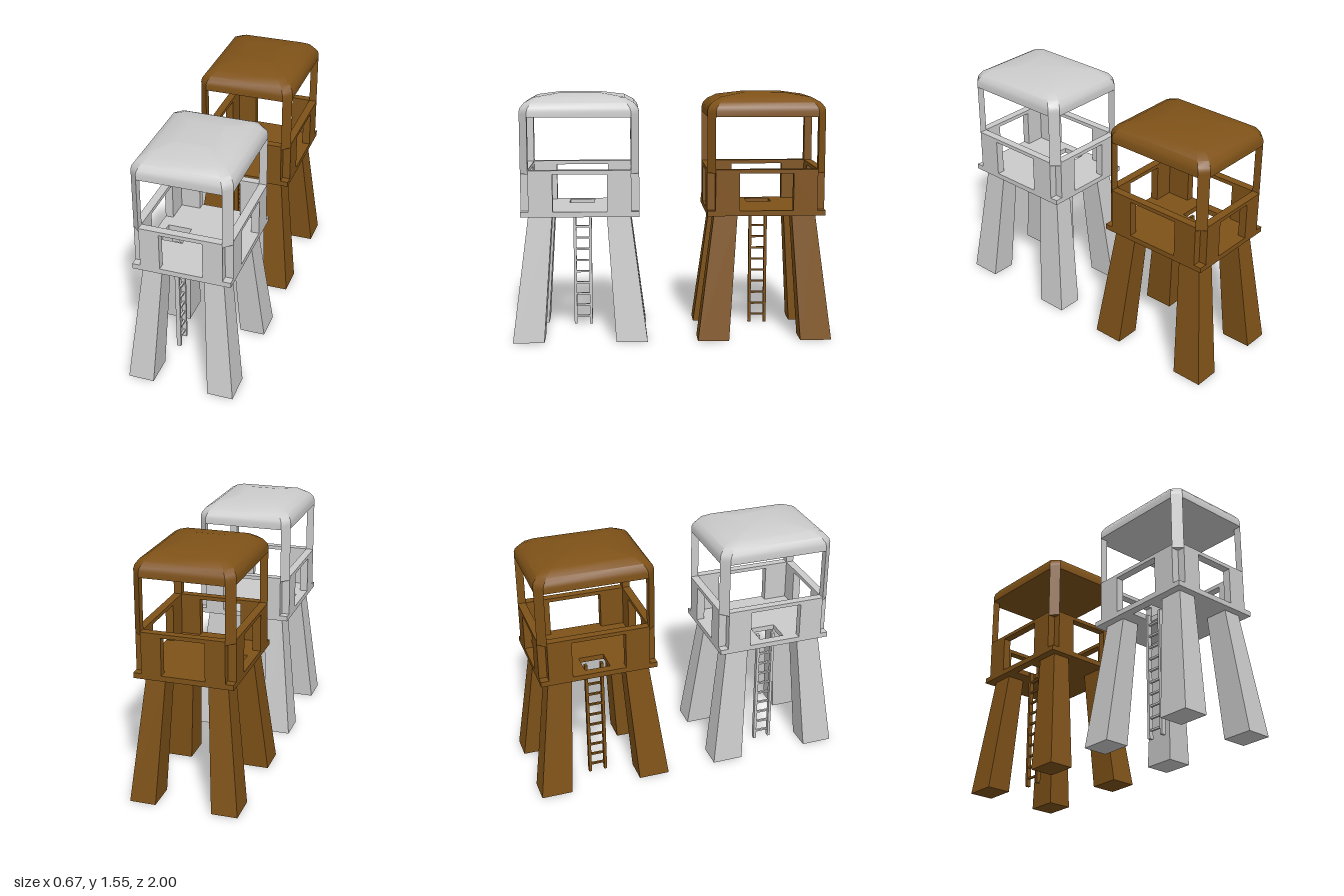
import * as THREE from 'three';
import { toCreasedNormals } from 'three/addons/utils/BufferGeometryUtils.js';

// Closed solid lofted through rings of [x, y, z] points, listed bottom to top
function loft(rings) {
  const n = rings[0].length, index = [];
  for (let r = 0; r < rings.length - 1; r++) {
    for (let i = 0; i < n; i++) {
      const a = r * n + i, b = r * n + (i + 1) % n;
      index.push(a, a + n, b, b, a + n, b + n);
    }
  }
  const top = (rings.length - 1) * n;
  for (let i = 1; i < n - 1; i++) {
    index.push(0, i, i + 1, top, top + i + 1, top + i);
  }
  const geo = new THREE.BufferGeometry();
  geo.setAttribute('position', new THREE.Float32BufferAttribute(rings.flat(2), 3));
  geo.setIndex(index);
  return toCreasedNormals(geo, 0.45);
}

// Rings run from +x towards +z so that lofted faces point outward
const cutRect = (hx, hz, c, y) => [
  [hx, y, hz - c], [hx - c, y, hz], [-hx + c, y, hz], [-hx, y, hz - c],
  [-hx, y, -hz + c], [-hx + c, y, -hz], [hx - c, y, -hz], [hx, y, -hz + c],
];

const rectRing = (x0, x1, z0, z1, y) => [[x0, y, z0], [x1, y, z0], [x1, y, z1], [x0, y, z1]];

// Rectangle path for shapes and holes
function rectPath(path, x0, x1, y0, y1) {
  path.moveTo(x0, y0);
  path.lineTo(x1, y0);
  path.lineTo(x1, y1);
  path.lineTo(x0, y1);
  path.closePath();
  return path;
}

function plate(outer, hole, depth) {
  const shape = rectPath(new THREE.Shape(), ...outer);
  shape.holes.push(rectPath(new THREE.Path(), ...hole));
  return new THREE.ExtrudeGeometry(shape, { depth, bevelEnabled: false });
}

// Wall with two solid ends joined by a top rail
function wall(half, open) {
  const pts = [[-half, 0.82], [-open, 0.82], [-open, 1.056], [open, 1.056],
    [open, 0.82], [half, 0.82], [half, 1.08], [-half, 1.08]];
  const shape = new THREE.Shape(pts.map(p => new THREE.Vector2(...p)));
  return new THREE.ExtrudeGeometry(shape, { depth: T, bevelEnabled: false });
}

const HX = 0.304, HZ = 0.368, T = 0.05; // cabin half sizes and wall thickness

function buildTower(color) {
  const material = new THREE.MeshStandardMaterial({ color });
  const tower = new THREE.Group();
  const cabin = new THREE.Group();
  cabin.name = 'cabin';
  cabin.position.set(0.004, 0, -0.005);
  tower.add(cabin);
  const add = (parent, name, geo, x = 0, y = 0, z = 0) => {
    const mesh = new THREE.Mesh(geo, material);
    mesh.name = name;
    mesh.position.set(x, y, z);
    parent.add(mesh);
    return mesh;
  };

  for (const sx of [-1, 1]) for (const sz of [-1, 1]) {
    // Splayed, tapering legs
    const span = (s, a, b) => (s > 0 ? [a, b] : [-b, -a]);
    add(tower, 'leg', loft([
      rectRing(...span(sx, 0.175, 0.337), ...span(sz, 0.225, 0.421), 0),
      rectRing(...span(sx, 0.13, 0.25), ...span(sz, 0.17, 0.318), 0.795),
    ]));

    // Three-sided roof posts with the wide face outward
    const tri = [[HX - T, HZ - T], [HX, HZ - T], [HX - T, HZ]].map(([x, z]) => [x * sx, z * sz]);
    if (sx * sz < 0) tri.reverse();
    add(cabin, 'roofPost', loft([1.057, 1.43].map(y => tri.map(([x, z]) => [x, y, z]))));
  }

  // Floor with a ladder hatch
  const floor = plate([-HX, HX, -HZ, HZ], [-0.25, -0.1, -0.08, 0.08], 0.033);
  floor.rotateX(-Math.PI / 2);
  add(cabin, 'floor', floor, 0, 0.79, 0);

  // Walls on all four sides, leaving the corners notched
  const endWall = wall(HX - T, 0.132), sideWall = wall(HZ - T, 0.168);
  for (const s of [1, -1]) {
    const turn = s > 0 ? 0 : Math.PI;
    add(cabin, 'endWall', endWall, 0, 0, s * (HZ - T)).rotation.y = turn;
    add(cabin, 'sideWall', sideWall, s * (HX - T), 0, 0).rotation.y = Math.PI / 2 + turn;
  }

  // Domed roof with cut corners
  add(cabin, 'roof', loft([
    cutRect(HX, HZ, 0.05, 1.405),
    cutRect(HX, HZ, 0.05, 1.44),
    cutRect(0.299, 0.362, 0.05, 1.462),
    cutRect(0.278, 0.337, 0.046, 1.492),
    cutRect(0.228, 0.28, 0.035, 1.523),
    cutRect(0.108, 0.129, 0.012, 1.546),
  ]));

  // Ladder
  const ladder = new THREE.Group();
  ladder.name = 'ladder';
  ladder.position.x = -0.1515;
  cabin.add(ladder);
  for (const s of [-1, 1]) {
    add(ladder, 'ladderRail', new THREE.BoxGeometry(0.028, 0.8, 0.018), 0, 0.4, s * 0.051);
  }
  const rung = new THREE.BoxGeometry(0.014, 0.012, 0.1);
  for (let i = 0; i < 10; i++) add(ladder, 'ladderRung', rung, 0, 0.052 + i * 0.0755, 0);
  return tower;
}

export function createModel() {
  const model = new THREE.Group();
  model.name = 'watchtowers';
  [['greyTower', 0xcccccc, 0.579], ['brownTower', 0x7f5218, -0.579]].forEach(([name, color, z]) => {
    const tower = buildTower(color);
    tower.name = name;
    tower.position.z = z;
    model.add(tower);
  });
  return model;
}
